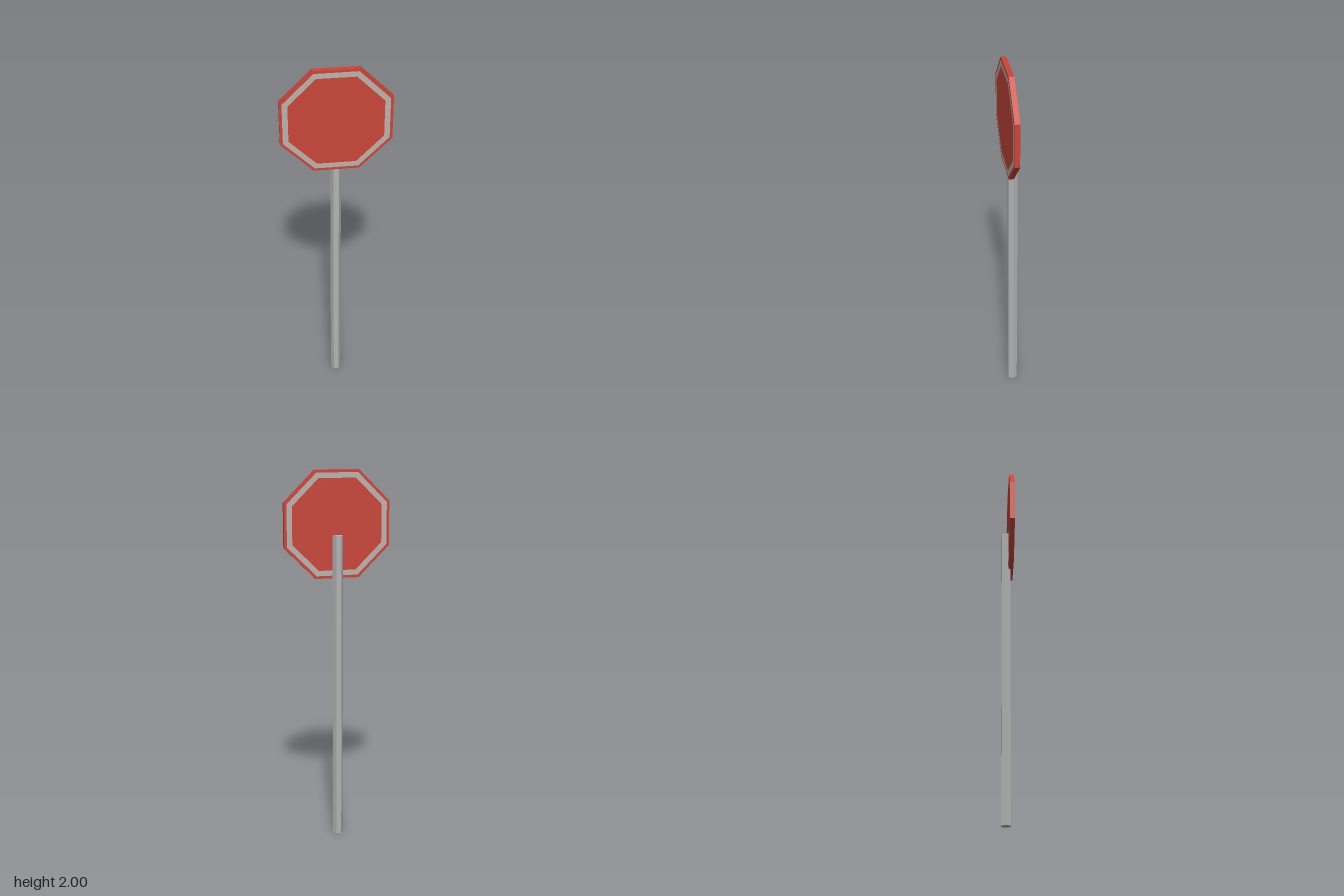
import * as THREE from 'three';

const CENTER_Y = 1.72, FRONT_Z = 0.03, BACK_Z = 0.003;

// Octagon corners with flat sides up, down, left and right
function octagon(apothem) {
  const r = apothem / Math.cos(Math.PI / 8);
  return Array.from({ length: 8 }, (_, i) => {
    const a = Math.PI / 8 + i * Math.PI / 4;
    return new THREE.Vector2(r * Math.cos(a), r * Math.sin(a));
  });
}

export function createModel() {
  const red = new THREE.MeshStandardMaterial({ color: 0xc9463a });
  red.name = 'sign red';
  const grey = new THREE.MeshStandardMaterial({ color: 0xb3b3b3 });
  grey.name = 'pole grey';
  const pale = new THREE.MeshStandardMaterial({ color: 0xbdb1ac });
  pale.name = 'border pale grey';

  const model = new THREE.Group();
  model.name = 'roadSign';
  const add = (name, geometry, material, x, y, z) => {
    const mesh = new THREE.Mesh(geometry, material);
    mesh.name = name;
    mesh.position.set(x, y, z);
    model.add(mesh);
    return mesh;
  };

  // Hexagonal pole, flat sides to front and back
  const poleHeight = 1.665;
  const poleGeometry = new THREE.CylinderGeometry(0.028, 0.028, poleHeight, 6).toNonIndexed();
  poleGeometry.rotateY(Math.PI / 6);
  poleGeometry.computeVertexNormals();
  add('pole', poleGeometry, grey, 0, poleHeight / 2, -0.009);

  // Octagonal plate
  const plate = new THREE.ExtrudeGeometry(new THREE.Shape(octagon(0.28)), {
    depth: FRONT_Z - BACK_Z, bevelEnabled: false,
  });
  add('signPlate', plate, red, 0, CENTER_Y, BACK_Z);

  // Thin border ring on both faces
  const ring = new THREE.Shape(octagon(0.266));
  ring.holes.push(new THREE.Path(octagon(0.238).reverse()));
  const ringGeometry = new THREE.ShapeGeometry(ring);
  add('frontBorder', ringGeometry, pale, 0, CENTER_Y, FRONT_Z + 0.001);
  add('backBorder', ringGeometry, pale, 0, CENTER_Y, BACK_Z - 0.001).rotation.y = Math.PI;

  return model;
}
